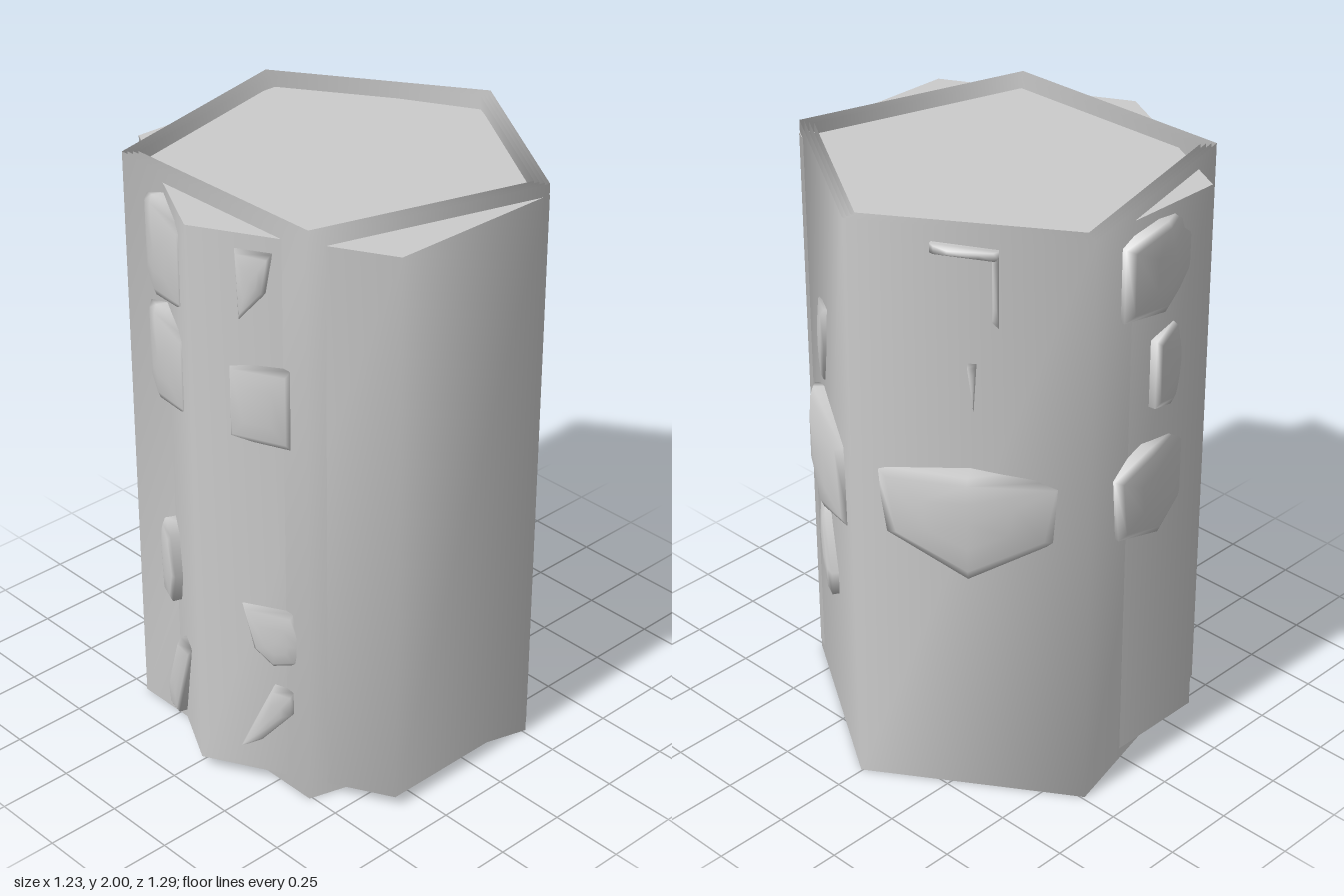
import * as THREE from 'three';

const material = new THREE.MeshStandardMaterial({ color: 0xcccccc, side: THREE.DoubleSide });

function add(group, geometry, name) {
  const mesh = new THREE.Mesh(geometry, material);
  mesh.name = name;
  group.add(mesh);
  return mesh;
}

function build(positions, index) {
  const g = new THREE.BufferGeometry();
  g.setAttribute('position', new THREE.Float32BufferAttribute(positions, 3));
  g.setIndex(index);
  g.computeVertexNormals();
  return g;
}

// Open prism wall with smooth shading; corners [x, z] run from +z towards +x
function wall(corners, y0, y1) {
  const pos = [], idx = [], n = corners.length;
  corners.forEach(([x, z]) => pos.push(x, y0, z, x, y1, z));
  for (let i = 0; i < n; i++) {
    const a = 2 * i, b = 2 * ((i + 1) % n);
    idx.push(a, b, b + 1, a, b + 1, a + 1);
  }
  return build(pos, idx);
}

// Low pad wrapped on a cylinder of radius r; outline points are [angle, y]
function pad(outline, r = 0.616) {
  const n = outline.length, pos = [], idx = [];
  const ca = outline.reduce((s, p) => s + p[0], 0) / n;
  const cy = outline.reduce((s, p) => s + p[1], 0) / n;
  const put = (a, y, d) => pos.push(Math.sin(a) * d, y, Math.cos(a) * d);
  const rings = [[1, r - 0.116], [1, r - 0.016], [0.85, r - 0.006], [0.45, r - 0.002]];
  for (const [s, d] of rings)
    for (const [a, y] of outline) put(ca + (a - ca) * s, cy + (y - cy) * s, d);
  put(ca, cy, r);
  for (let k = 0; k < rings.length; k++)
    for (let i = 0; i < n; i++) {
      const j = (i + 1) % n, a = k * n + i, b = k * n + j;
      if (k === rings.length - 1) idx.push(a, rings.length * n, b);
      else idx.push(a, a + n, b, b, a + n, b + n);
    }
  return build(pos, idx);
}

export function createModel() {
  const group = new THREE.Group();

  // Six-sided body and the slightly taller five-sided sleeve crossing it
  const hexagon = [[0.025, 0.65], [0.61, 0.34], [0.61, -0.27], [0.025, -0.58], [-0.56, -0.27], [-0.56, 0.34]];
  const pentagon = [[-0.43, 0.51], [0.39, 0.51], [0.616, -0.262], [0.005, -0.645], [-0.617, -0.24]];
  add(group, wall(hexagon, 0.04, 1.96), 'hexagonalBody');
  add(group, wall(pentagon, 0, 2), 'pentagonalSleeve');

  // Thin sleeves nested inside, showing as rims at both ends
  for (const s of [0.975, 0.95, 0.925])
    add(group, wall(pentagon.map(([x, z]) => [x * s, z * s]), 0, 2), 'innerSleeve');

  // Closed top and bottom plate with a round recess
  const outline = () => new THREE.Shape(hexagon.map(([x, z]) => new THREE.Vector2(x, -z)));
  const top = add(group, new THREE.ShapeGeometry(outline()), 'topPlate');
  top.rotation.x = -Math.PI / 2;
  top.position.y = 1.96;
  const ring = outline();
  ring.holes.push(new THREE.Path().absarc(0.02, -0.02, 0.32, 0, Math.PI * 2, true));
  const bottom = add(group, new THREE.ShapeGeometry(ring, 24), 'bottomPlate');
  bottom.rotation.x = -Math.PI / 2;
  bottom.position.y = 0.04;
  const recess = [[0.32, 0.04], [0.32, 0.32]].map(p => new THREE.Vector2(...p));
  add(group, new THREE.LatheGeometry(recess, 24), 'bottomRecess').position.set(0.02, 0, 0.02);
  const ceiling = add(group, new THREE.CircleGeometry(0.32, 24), 'recessCeiling');
  ceiling.rotation.x = Math.PI / 2;
  ceiling.position.set(0.02, 0.32, 0.02);

  // Front pads, points as [x, y]
  const front = [
    [[-0.33, 1.9], [-0.25, 1.93], [-0.04, 1.9], [-0.04, 1.63], [-0.24, 1.6], [-0.33, 1.63]],
    [[-0.32, 1.54], [-0.25, 1.56], [-0.04, 1.54], [-0.04, 1.27], [-0.24, 1.24], [-0.32, 1.27]],
    [[0.16, 1.91], [0.27, 1.91], [0.25, 1.78], [0.17, 1.68]],
    [[0.13, 1.53], [0.32, 1.54], [0.32, 1.27], [0.13, 1.27]],
    [[-0.29, 0.72], [-0.25, 0.79], [-0.2, 0.75], [-0.17, 0.61], [-0.2, 0.5], [-0.26, 0.5]],
    [[0.16, 0.68], [0.32, 0.68], [0.35, 0.56], [0.33, 0.49], [0.26, 0.47], [0.2, 0.52]],
    [[-0.15, 0.39], [-0.07, 0.39], [-0.18, 0.07], [-0.24, 0.06], [-0.26, 0.13]],
    [[0.26, 0.39], [0.32, 0.38], [0.32, 0.3], [0.22, 0.17], [0.14, 0.11]],
  ];
  for (const p of front)
    add(group, pad(p.map(([x, y]) => [Math.asin(x / 0.6), y])), 'frontPad');

  // Pads on the back right wall: radius, then points as [z, y]
  const back = [
    [0.575, [[-0.41, 1.52], [-0.51, 1.53], [-0.49, 1.38], [-0.46, 1.24], [-0.41, 1.24]]],
    [0.612, [[-0.38, 1.17], [-0.44, 1.2], [-0.59, 1.16], [-0.595, 0.88], [-0.54, 0.86], [-0.38, 0.88]]],
    [0.59, [[-0.38, 0.79], [-0.43, 0.8], [-0.47, 0.75], [-0.53, 0.58], [-0.53, 0.5], [-0.43, 0.55], [-0.36, 0.65]]],
  ];
  for (const [r, p] of back)
    add(group, pad(p.map(([z, y]) => [Math.acos(z / 0.6), y]), r), 'backPad');

  // Pads on the left and back left walls: radius, then points as [degrees, y]
  const side = [
    [0.616, [[-175, 1.17], [-145, 1.2], [-115, 1.17], [-119, 0.96], [-145, 0.84], [-171, 0.95]]],
    [0.575, [[-157, 1.95], [-136, 1.94], [-136, 1.91], [-157, 1.92]]],
    [0.575, [[-138, 1.92], [-136, 1.92], [-136, 1.69], [-138, 1.71]]],
    [0.56, [[-146, 1.56], [-143, 1.56], [-144, 1.4]]],
    [0.616, [[-98, 1.9], [-80, 1.93], [-50, 1.9], [-50, 1.66], [-80, 1.63], [-98, 1.66]]],
    [0.605, [[-82, 1.53], [-72, 1.56], [-55, 1.53], [-55, 1.3], [-72, 1.27], [-82, 1.3]]],
    [0.616, [[-100, 1.12], [-85, 1.18], [-62, 1.15], [-62, 0.9], [-80, 0.85], [-98, 0.9]]],
  ];
  for (const [r, p] of side)
    add(group, pad(p.map(([d, y]) => [THREE.MathUtils.degToRad(d), y]), r), 'sidePad');

  return group;
}
